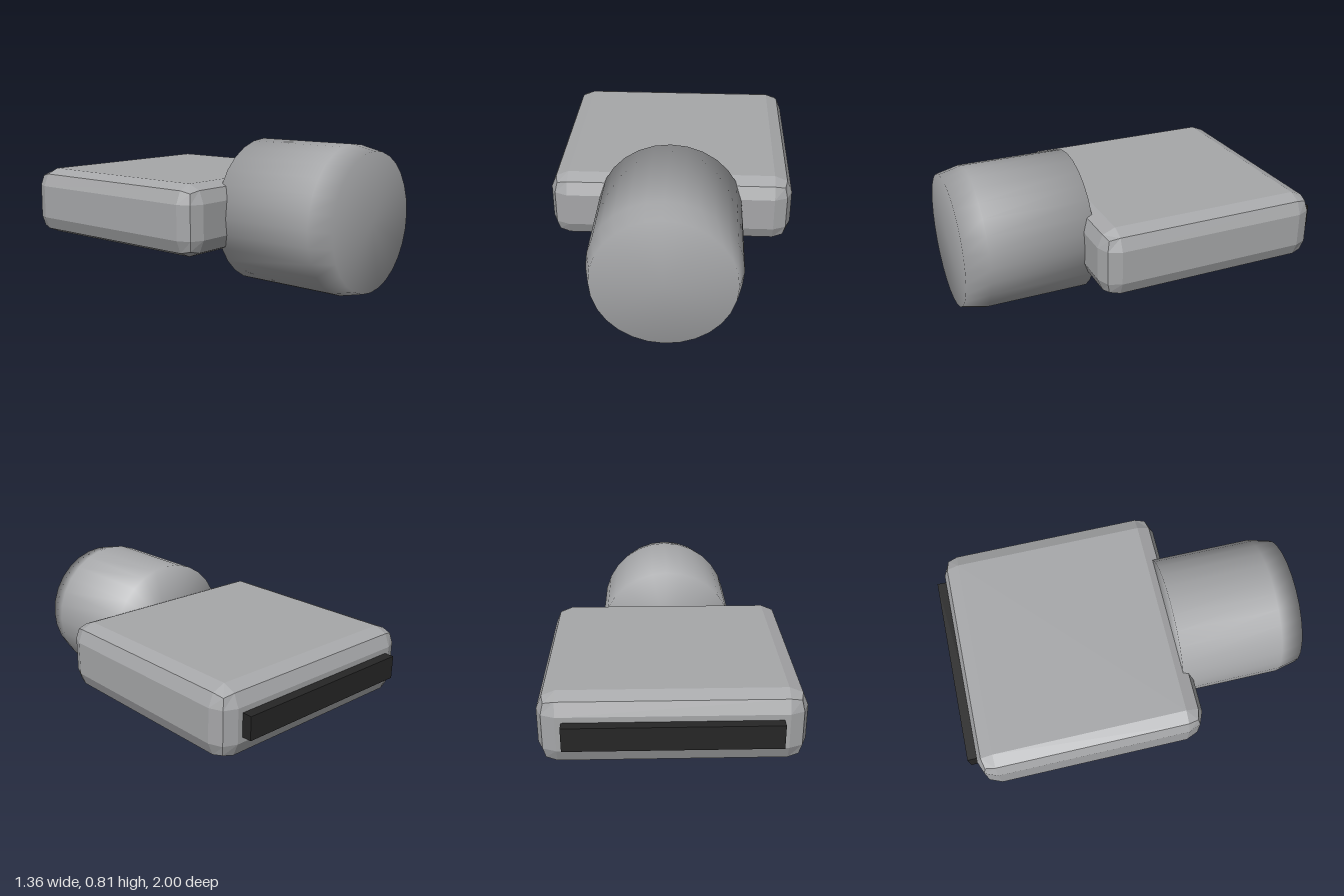
import * as THREE from 'three';
import { RoundedBoxGeometry } from 'three/addons/geometries/RoundedBoxGeometry.js';

export function createModel() {
  const model = new THREE.Group();
  const grey = new THREE.MeshStandardMaterial({ color: 0xa6a7a9 });
  grey.name = 'metal grey';
  const black = new THREE.MeshStandardMaterial({ color: 0x262626 });
  black.name = 'slot black';

  const add = (name, geometry, material, x, y, z) => {
    const mesh = new THREE.Mesh(geometry, material);
    mesh.name = name;
    mesh.position.set(x, y, z);
    model.add(mesh);
  };

  // Flat slab with two-step faceted edges
  const slab = new RoundedBoxGeometry(1.36, 0.39, 1.29, 1, 0.1);
  slab.computeVertexNormals();
  add('body', slab, grey, 0, 0.41, -0.3);

  // Round barrel at the front, softly shaded over both ends, tapered at the tip
  const profile = [[0, 0.285], [0.405, 0.285], [0.405, 0.87], [0.375, 1], [0, 1]];
  const barrel = new THREE.LatheGeometry(profile.map(([r, z]) => new THREE.Vector2(r, z)), 28);
  barrel.rotateX(Math.PI / 2);
  add('barrel', barrel, grey, 0, 0.405, 0);

  // Dark bar across the back
  add('backBar', new THREE.BoxGeometry(1.1, 0.13, 0.1), black, 0, 0.41, -0.95);

  return model;
}
